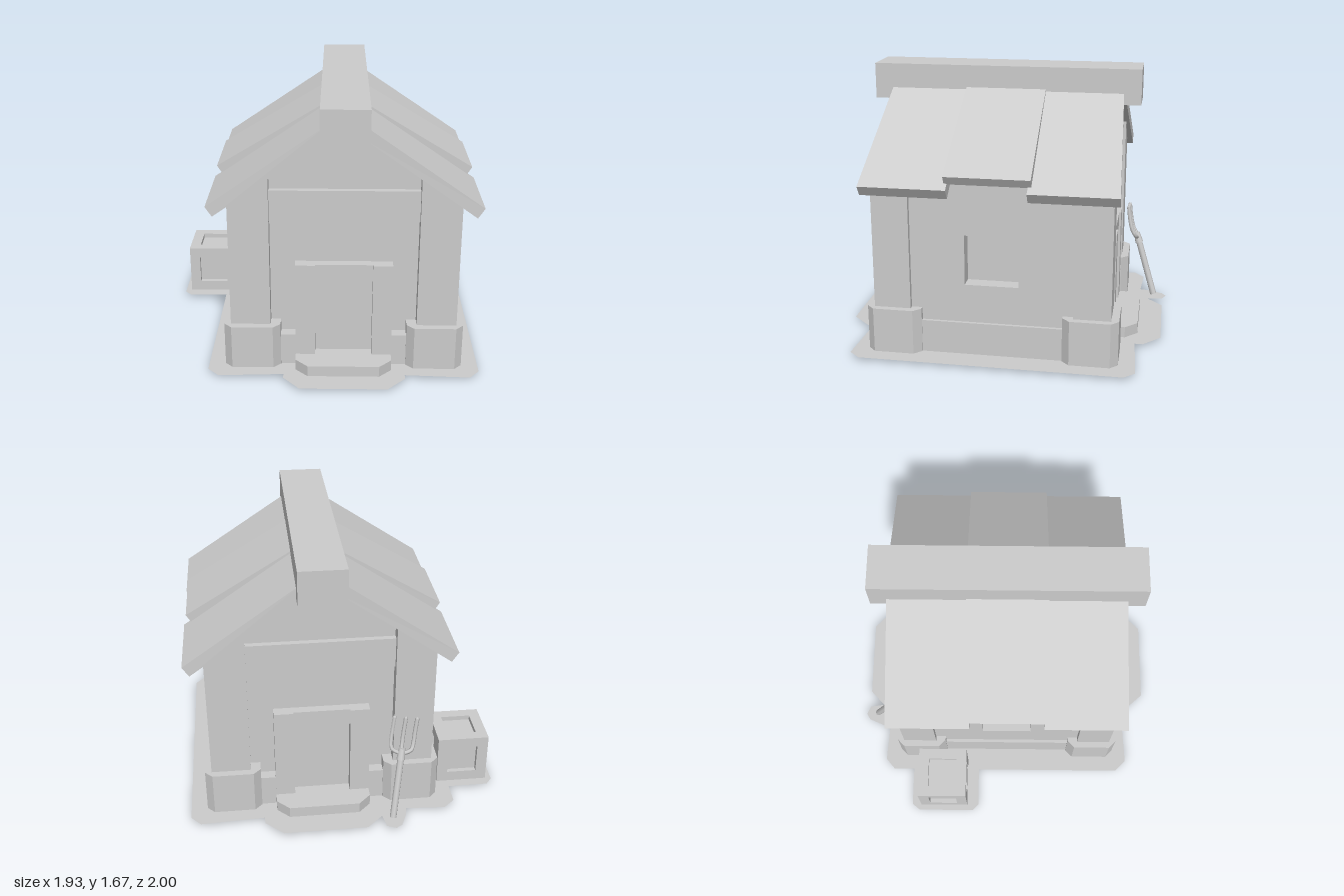
import * as THREE from 'three';

const flat = new THREE.MeshStandardMaterial({ color: 0xcccccc, flatShading: true });
const smooth = new THREE.MeshStandardMaterial({ color: 0xcccccc });
const thin = new THREE.MeshStandardMaterial({ color: 0xcccccc, side: THREE.DoubleSide });

const CX = 0.14, CZ = 0.015; // centre of the house on the ground
const GROUND = 0.02;

function add(parent, name, geometry, material = flat) {
  const mesh = new THREE.Mesh(geometry, material);
  mesh.name = name;
  parent.add(mesh);
  return mesh;
}

// Box given by its lowest and highest corner
function box(parent, name, [x0, y0, z0], [x1, y1, z1]) {
  const g = new THREE.BoxGeometry(x1 - x0, y1 - y0, z1 - z0);
  g.translate((x0 + x1) / 2, (y0 + y1) / 2, (z0 + z1) / 2);
  return add(parent, name, g);
}

const shapeOf = (pts) => new THREE.Shape(pts.map(([x, y]) => new THREE.Vector2(x, y)));
const extrude = (shape, depth) =>
  new THREE.ExtrudeGeometry(shape, { depth, bevelEnabled: false, curveSegments: 8 });

// Upright block with four cut corners, centred on x, z
function cutBlock(parent, name, x, z, w, d, y0, y1, cut) {
  const a = w / 2, b = d / 2;
  const s = shapeOf([[-a + cut, -b], [a - cut, -b], [a, -b + cut], [a, b - cut],
    [a - cut, b], [-a + cut, b], [-a, b - cut], [-a, -b + cut]]);
  const g = extrude(s, y1 - y0).rotateX(-Math.PI / 2).translate(x, y0, z);
  return add(parent, name, g);
}

// Height of the roof underside at distance d from the ridge line
const under = (d) => 1.55 - 0.69 * d;

// Sloping slab: profile is [distance from ridge, height], z spans at eave and ridge
function roofPanel(parent, name, side, p, eaveZ, ridgeZ) {
  const g = new THREE.BoxGeometry(1, 1, 1);
  const pos = g.attributes.position;
  for (let i = 0; i < pos.count; i++) {
    const eave = pos.getX(i) * side > 0;
    const top = pos.getY(i) > 0;
    const [d, y] = eave ? (top ? p.eaveTop : p.eaveBottom) : (top ? p.ridgeTop : p.ridgeBottom);
    const z = (eave ? eaveZ : ridgeZ)[pos.getZ(i) > 0 ? 1 : 0];
    pos.setXYZ(i, side * d, y, z);
  }
  g.computeVertexNormals();
  return add(parent, name, g);
}

function buildGround() {
  const pts = [[-0.68, -0.78], [-0.61, -0.84], [-0.37, -0.825], [-0.36, -0.88], [-0.32, -0.975],
    [-0.28, -1.0], [-0.225, -0.975], [-0.21, -0.88], [-0.11, -0.975], [0.4, -0.975],
    [0.51, -0.87], [0.51, -0.82], [0.9, -0.84], [0.96, -0.775], [0.96, 0.79], [0.9, 0.86],
    [0.51, 0.84], [0.51, 0.88], [0.4, 0.995], [-0.12, 0.995], [-0.22, 0.88], [-0.22, 0.84],
    [-0.61, 0.86], [-0.68, 0.79], [-0.68, -0.18], [-0.93, -0.18], [-0.97, -0.22],
    [-0.97, -0.59], [-0.93, -0.64], [-0.68, -0.64]];
  const g = new THREE.ShapeGeometry(shapeOf(pts.map(([x, z]) => [x, -z])));
  return g.rotateX(-Math.PI / 2).translate(0, GROUND, 0);
}

// Everything on one gable end, built facing +z
function buildGableEnd(name) {
  const end = new THREE.Group();
  end.name = name;
  box(end, 'tieBeam', [-0.45, 0.955, 0.55], [0.45, 1.145, 0.67]);
  box(end, 'door', [-0.18, 0.06, 0.55], [0.18, 0.62, 0.642]);
  for (const s of [-1, 1]) {
    const mid = s * 0.231;
    box(end, 'doorJamb', [mid - 0.059, GROUND, 0.6], [mid + 0.059, 0.685, 0.703]);
    // Corner post with a top cut to the roof slope
    const post = [[0.44, GROUND], [0.68, GROUND], [0.68, under(0.68) + 0.02], [0.44, under(0.44) + 0.02]];
    add(end, 'cornerPost', extrude(shapeOf(post.map(([x, y]) => [s * x, y])), 0.22).translate(0, 0, 0.485));
    cutBlock(end, 'cornerStone', s * 0.55, 0.585, 0.34, 0.33, 0, 0.295, 0.045);
    const sill = s * 0.34;
    box(end, 'baseBeam', [sill - 0.06, GROUND, 0.55], [sill + 0.06, 0.22, 0.7]);
  }
  // Lintel with a gently arched underside
  const lintel = shapeOf([[0.172, 0.685], [-0.172, 0.685], [-0.172, 0.58]]);
  lintel.quadraticCurveTo(0, 0.6, 0.172, 0.58);
  add(end, 'lintel', extrude(lintel, 0.08).translate(0, 0, 0.61));
  cutBlock(end, 'doorstep', 0, 0.695, 0.58, 0.3, GROUND, 0.088, 0.075);
  return end;
}

function buildHouse() {
  const house = new THREE.Group();
  house.name = 'house';
  house.position.set(CX, 0, CZ);

  // Solid core whose ends are the gable walls
  const w = 0.56;
  const core = shapeOf([[-w, GROUND], [w, GROUND], [w, under(w) + 0.02], [0, under(0.03)], [-w, under(w) + 0.02]]);
  add(house, 'gableWalls', extrude(core, 1.27).translate(0, 0, -0.635));

  const front = buildGableEnd('frontGable');
  const back = buildGableEnd('backGable');
  back.rotation.y = Math.PI;
  house.add(front, back);

  for (const s of [-1, 1]) {
    // Side wall with a window opening
    const wall = shapeOf([[-0.55, GROUND], [0.55, GROUND], [0.55, 1.13], [-0.55, 1.13]]);
    wall.holes.push(new THREE.Path([[-0.16, 0.455], [-0.16, 0.76], [0.16, 0.76], [0.16, 0.455]]
      .map(([x, y]) => new THREE.Vector2(x, y))));
    const g = extrude(wall, 0.1).translate(0, 0, 0.55).rotateY(s * Math.PI / 2);
    add(house, 'sideWall', g);
    const x = s * 0.62;
    box(house, 'sideBaseBeam', [x - 0.05, GROUND, -0.46], [x + 0.05, 0.22, 0.46]);

    // Three roof panels, the middle one raised
    const outer = { eaveTop: [0.8, 1.07], eaveBottom: [0.76, 1.01], ridgeTop: [0.1, 1.55], ridgeBottom: [0.1, 1.47] };
    const middle = { eaveTop: [0.785, 1.145], eaveBottom: [0.755, 1.095], ridgeTop: [0.1, 1.56], ridgeBottom: [0.1, 1.5] };
    roofPanel(house, 'frontRoofPanel', s, outer, [0.23, 0.742], [0.24, 0.703]);
    roofPanel(house, 'middleRoofPanel', s, middle, [-0.248, 0.248], [-0.243, 0.243]);
    roofPanel(house, 'backRoofPanel', s, outer, [-0.742, -0.228], [-0.71, -0.24]);
  }
  box(house, 'ridgeBeam', [-0.14, 1.455, -0.815], [0.14, 1.67, 0.815]);
  return house;
}

// Crate: inset core with twelve edge bars
function buildCrate() {
  const crate = new THREE.Group();
  crate.name = 'crate';
  const size = 0.322, bar = 0.068, off = (size - bar) / 2;
  add(crate, 'crateCore', new THREE.BoxGeometry(0.262, 0.262, 0.262));
  for (let axis = 0; axis < 3; axis++) {
    for (const a of [-off, off]) for (const b of [-off, off]) {
      const dims = [bar, bar, bar], at = [0, 0, 0];
      dims[axis] = size;
      at[(axis + 1) % 3] = a;
      at[(axis + 2) % 3] = b;
      add(crate, 'crateEdge', new THREE.BoxGeometry(...dims).translate(...at));
    }
  }
  crate.position.set(-0.772, GROUND + size / 2, -0.418);
  return crate;
}

// Pitchfork leaning against the back wall, built along its own +y
function buildPitchfork() {
  const fork = new THREE.Group();
  fork.name = 'pitchfork';
  const foot = new THREE.Vector3(-0.272, 0.035, -0.915);
  const neck = new THREE.Vector3(-0.33, 0.42, -0.795);
  const dir = neck.clone().sub(foot);
  const len = dir.length();
  add(fork, 'handle', new THREE.CylinderGeometry(0.021, 0.021, len, 8).translate(0, len / 2, 0), smooth);
  add(fork, 'socket', new THREE.CylinderGeometry(0.02, 0.027, 0.07, 8).translate(0, len, 0), smooth);
  for (const s of [-1, 0, 1]) {
    const path = new THREE.CatmullRomCurve3([[0, len, 0], [s * 0.06, len + 0.025, 0.01],
      [s * 0.07, len + 0.07, 0.018], [s * 0.07, len + 0.14, 0.014], [s * 0.07, len + 0.225, 0]]
      .map((p) => new THREE.Vector3(...p)));
    add(fork, 'tine', new THREE.TubeGeometry(path, 12, 0.013, 6), smooth);
    const tip = path.getPoint(1);
    add(fork, 'tineTip', new THREE.SphereGeometry(0.013, 6, 4).translate(tip.x, tip.y, tip.z), smooth);
  }
  fork.position.copy(foot);
  fork.quaternion.setFromUnitVectors(new THREE.Vector3(0, 1, 0), dir.normalize());
  return fork;
}

export function createModel() {
  const model = new THREE.Group();
  model.name = 'cottage';
  add(model, 'groundPatch', buildGround(), thin);
  model.add(buildHouse(), buildCrate(), buildPitchfork());
  return model;
}
